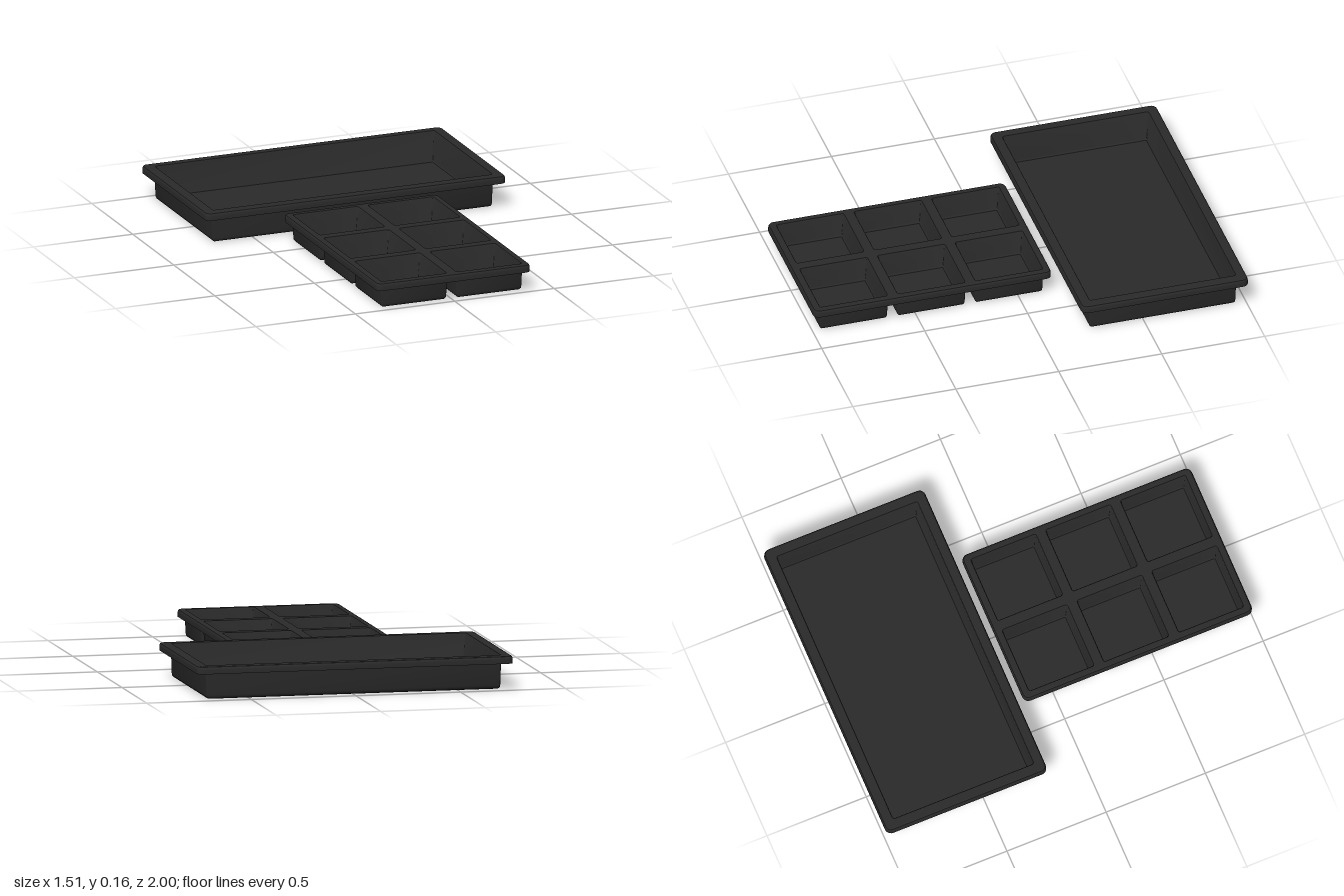
import * as THREE from 'three';
import { toCreasedNormals } from 'three/addons/utils/BufferGeometryUtils.js';

const plastic = new THREE.MeshStandardMaterial({ color: 0x2a2a2a });
plastic.name = 'black plastic';

// Points of a rounded rectangle given by half sizes and corner radius
function roundedRect(w, d, r, steps = 5) {
  const points = [];
  for (let q = 0; q < 4; q++) {
    const sx = q === 0 || q === 3 ? 1 : -1;
    const sz = q < 2 ? 1 : -1;
    for (let i = 0; i <= steps; i++) {
      const a = (q + i / steps) * Math.PI / 2;
      points.push(new THREE.Vector2(sx * (w - r) + r * Math.cos(a), sz * (d - r) + r * Math.sin(a)));
    }
  }
  return points;
}

// Skin through rounded rectangles; profile entries are [inset, y], inset null closes to the centre
function loft(w, d, r, profile) {
  const positions = [], index = [];
  let n = 0;
  for (const [inset, y] of profile) {
    const loop = inset === null
      ? roundedRect(0, 0, 0)
      : roundedRect(w - inset, d - inset, Math.max(r - inset, 0.004));
    n = loop.length;
    for (const p of loop) positions.push(p.x, y, p.y);
  }
  for (let i = 0; i < profile.length - 1; i++) {
    for (let j = 0; j < n; j++) {
      const k = (j + 1) % n;
      const a = i * n + j, b = i * n + k, c = a + n, e = b + n;
      if (profile[i][0] !== null) index.push(a, c, b);
      if (profile[i + 1][0] !== null) index.push(b, c, e);
    }
  }
  const geometry = new THREE.BufferGeometry();
  geometry.setAttribute('position', new THREE.Float32BufferAttribute(positions, 3));
  geometry.setIndex(index);
  return toCreasedNormals(geometry, 0.6);
}

function addPart(group, name, geometry, x = 0, y = 0, z = 0) {
  const mesh = new THREE.Mesh(geometry, plastic);
  mesh.name = name;
  mesh.position.set(x, y, z);
  group.add(mesh);
}

// A tray: rolled rim, flat top plate with openings, and one pocket under each opening
function makeTray(name, w, d, height, cells, cw, cd) {
  const tray = new THREE.Group();
  tray.name = name;

  // Rolled rim with a short skirt
  const h = height;
  addPart(tray, 'rim', loft(w, d, 0.03, [
    [0.012, h - 0.01], [0.012, h - 0.035], [0, h - 0.035], [0, h - 0.014],
    [0.0015, h - 0.007], [0.005, h - 0.002], [0.012, h],
  ]));

  // Top plate
  const shape = new THREE.Shape(roundedRect(w - 0.012, d - 0.012, 0.018));
  for (const [x, z] of cells) {
    const hole = roundedRect(cw, cd, 0.015).map((p) => p.add(new THREE.Vector2(x, z)));
    shape.holes.push(new THREE.Path(hole));
  }
  const plate = new THREE.ExtrudeGeometry(shape, { depth: 0.01, bevelEnabled: false });
  addPart(tray, 'topPlate', plate.rotateX(Math.PI / 2), 0, h, 0);

  // Pockets with tapered walls and softened bottom edges
  const pocket = loft(cw, cd, 0.015, [
    [null, 0], [0.022, 0], [0.013, 0.003], [0.007, 0.01], [0.005, 0.02],
    [0, h], [0.004, h], [0.007, h - 0.005], [0.015, 0.02], [0.02, 0.012], [null, 0.012],
  ]);
  for (const [x, z] of cells) addPart(tray, 'pocket', pocket, x, 0, z);
  return tray;
}

export function createModel() {
  const model = new THREE.Group();
  model.name = 'seedTrays';

  // Large open tray at the back
  const large = makeTray('largeTray', 0.755, 0.405, 0.16, [[0, 0]], 0.708, 0.36);
  large.position.z = -0.595;
  model.add(large);

  // Six-cell tray at the front
  const cells = [];
  for (const x of [-0.189, 0.189]) {
    for (const z of [-0.377, 0, 0.377]) cells.push([x, z]);
  }
  const small = makeTray('cellTray', 0.387, 0.577, 0.13, cells, 0.169, 0.169);
  small.position.z = 0.423;
  model.add(small);

  return model;
}
